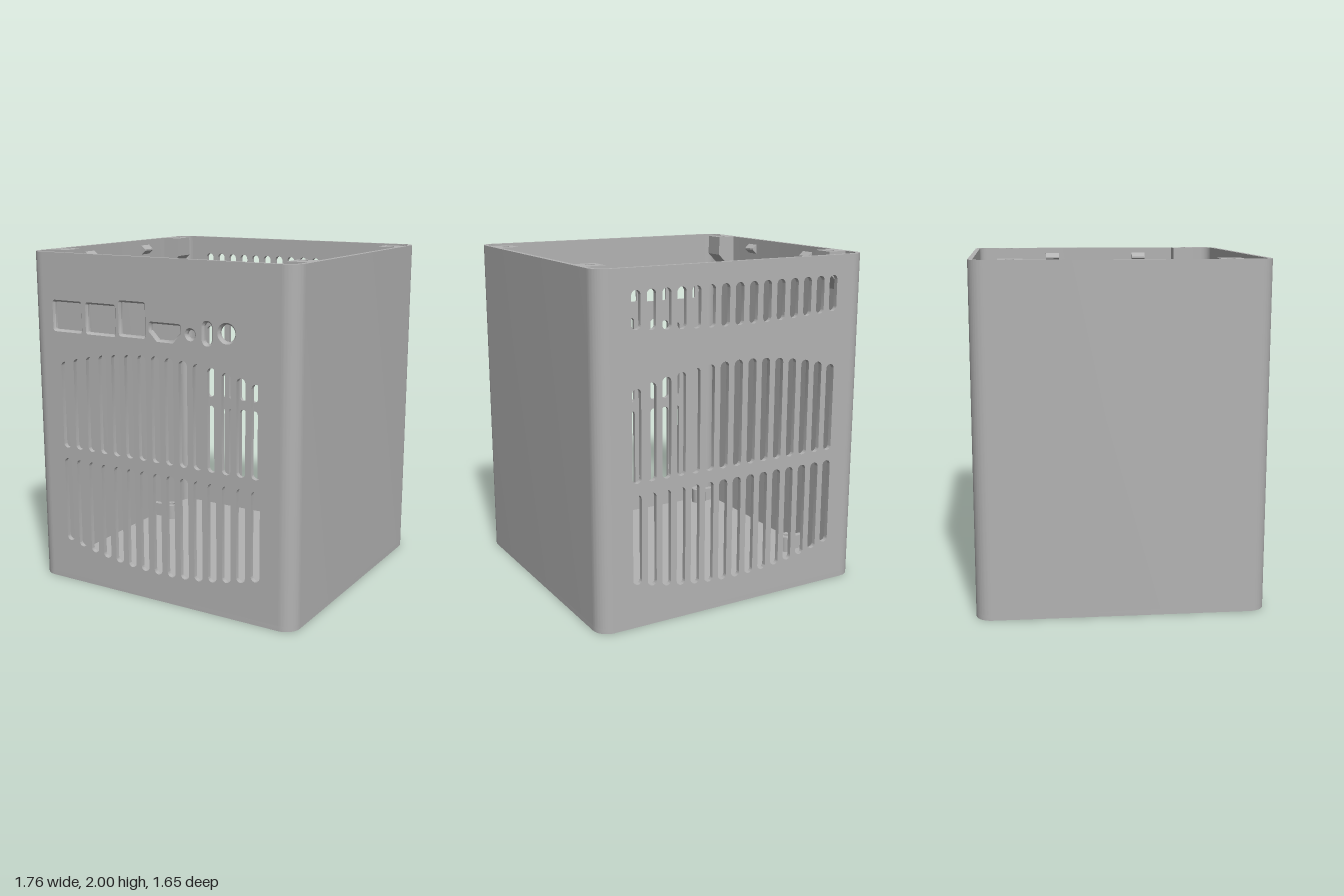
import * as THREE from 'three';
import { toCreasedNormals } from 'three/addons/utils/BufferGeometryUtils.js';

const X = 0.88, Z = 0.825, H = 2;          // outer half sizes and height
const T = 0.027, FLOOR = 0.03, R = 0.09;   // wall, floor, corner radius
const XI = X - T, ZI = Z - T;

const grey = new THREE.MeshStandardMaterial({ color: 0xb3b3b3 });
grey.name = 'plain grey';

// Counter-clockwise rectangle with rounded (n > 1) or cut (n = 1) corners
function outline(cx, cy, w, h, rTop, rBot = rTop, nTop = 8, nBot = nTop) {
  const pts = [];
  [[1, 1], [-1, 1], [-1, -1], [1, -1]].forEach(([sx, sy], q) => {
    const r = sy > 0 ? rTop : rBot, n = sy > 0 ? nTop : nBot;
    for (let i = 0; i <= n; i++) {
      const a = (q + i / n) * Math.PI / 2;
      const p = new THREE.Vector2(
        cx + sx * (w / 2 - r) + r * Math.cos(a),
        cy + sy * (h / 2 - r) + r * Math.sin(a));
      if (!pts.length || p.distanceTo(pts[pts.length - 1]) > 1e-5) pts.push(p);
    }
  });
  if (pts[0].distanceTo(pts[pts.length - 1]) < 1e-5) pts.pop();
  return pts;
}

const circle = (cx, cy, r) => outline(cx, cy, 2 * r, 2 * r, r);

function extrude(points, holes, depth) {
  const shape = new THREE.Shape(points);
  shape.holes = holes.map(h => new THREE.Path(h));
  const g = new THREE.ExtrudeGeometry(shape, { depth, bevelEnabled: false });
  return toCreasedNormals(g, 0.6);
}

// Extrude a plan drawing (x, -z) upwards from y0
function extrudeUp(points, holes, y0, height) {
  return extrude(points, holes, height).rotateX(-Math.PI / 2).translate(0, y0, 0);
}

// Join equal loops [points, z] into a surface facing the middle
function loft(rows) {
  const n = rows[0][0].length, pos = [], index = [];
  rows.forEach(([pts, z]) => pts.forEach(p => pos.push(p.x, p.y, z)));
  for (let k = 0; k < rows.length - 1; k++) {
    for (let j = 0; j < n; j++) {
      const a = k * n + j, b = k * n + (j + 1) % n;
      index.push(a, b, a + n, b, b + n, a + n);
    }
  }
  const g = new THREE.BufferGeometry();
  g.setAttribute('position', new THREE.Float32BufferAttribute(pos, 3));
  g.setIndex(index);
  return toCreasedNormals(g, 0.6);
}

// Vertical ventilation slot
const slot = (x, y0, y1) => outline(x, (y0 + y1) / 2, 0.055, y1 - y0, 0.0275);

// Port openings; each takes an inset for its bevelled edge
const ports = [
  i => outline(-0.613, 1.633, 0.215 - 2 * i, 0.185 - 2 * i, 0.016 - i, 0.016 - i, 3),
  i => outline(-0.372, 1.633, 0.215 - 2 * i, 0.185 - 2 * i, 0.016 - i, 0.016 - i, 3),
  i => outline(-0.152, 1.65, 0.185 - 2 * i, 0.205 - 2 * i, 0.016 - i, 0.016 - i, 3),
  i => outline(0.068, 1.593, 0.215 - 2 * i, 0.11 - 2 * i, 0.016 - i, 0.055 - 0.6 * i, 3, 1),
  i => circle(0.235, 1.596, 0.036 - i),
  i => outline(0.342, 1.61, 0.068 - 2 * i, 0.14 - 2 * i, 0.034 - i),
  i => circle(0.464, 1.62, 0.058 - i),
];

export function createModel() {
  const model = new THREE.Group();
  model.name = 'ventilatedCase';
  const add = (name, geometry) => {
    const mesh = new THREE.Mesh(geometry, grey);
    mesh.name = name;
    model.add(mesh);
    return mesh;
  };

  // Slot rows whose outer ends follow a shallow arc
  const vents = [], topVents = [];
  for (let k = -7; k <= 7; k++) {
    const x = k * 0.092, q = x * x;
    vents.push(slot(x, 0.84, 1.455 - 0.22 * q), slot(x, 0.165 + 0.215 * q, 0.775));
    topVents.push(slot(x, 1.648 + 0.07 * q, 1.885));
  }

  // Front and back walls
  const panel = outline(0, (H + FLOOR) / 2, 2 * (X - R), H - FLOOR, 0, 0, 1);
  add('frontWall', extrude(panel, [...vents, ...ports.map(p => p(0))], T).translate(0, 0, ZI));
  add('backWall', extrude(panel, [...vents, ...topVents], T).translate(0, 0, -Z));

  // Bevelled frames lining the port openings
  ports.forEach(p => add('portFrame',
    loft([[p(0), Z], [p(0.011), Z - 0.012], [p(0.011), ZI], [p(0), ZI]])));

  // Side walls with rounded corners
  const side = new THREE.Shape();
  side.moveTo(X - R, -Z);
  side.absarc(X - R, -Z + R, R, -Math.PI / 2, 0, false);
  side.absarc(X - R, Z - R, R, 0, Math.PI / 2, false);
  side.lineTo(X - R, ZI);
  side.absarc(X - R, Z - R, R - T, Math.PI / 2, 0, true);
  side.absarc(X - R, -Z + R, R - T, 0, -Math.PI / 2, true);
  const sidePoints = side.getPoints(10);
  add('leftWall', extrudeUp(sidePoints, [], FLOOR, H - FLOOR));
  add('rightWall', extrudeUp(sidePoints, [], FLOOR, H - FLOOR).rotateY(Math.PI));

  // Floor with recessed screw holes
  const standoffs = [];
  for (const s of [-1, 1]) for (const z of [-0.37, 0.73]) standoffs.push([s, s * 0.712, z]);
  add('floor', extrudeUp(outline(0, 0, 2 * X, 2 * Z, R, R, 10),
    standoffs.map(([, x, z]) => circle(x, -z, 0.035)), 0, FLOOR));

  // Hollow standoffs tied to the side walls by ribs
  for (const [s, x, z] of standoffs) {
    add('standoff', extrudeUp(circle(x, -z, 0.05), [circle(x, -z, 0.021)], FLOOR, 0.1));
    add('standoffRib', new THREE.BoxGeometry(XI - 0.755, 0.09, 0.036)
      .translate(s * (XI + 0.755) / 2, FLOOR + 0.045, z));
  }

  for (const s of [-1, 1]) {
    // Screw blocks at the rim, each with a sloped foot
    for (const z of [-0.6, 0.595]) {
      const w = XI - 0.735, xc = s * (XI + 0.735) / 2;
      add('screwBlock', extrudeUp(outline(xc, -z, w, 0.135, 0, 0, 1),
        [circle(s * 0.793, -z, 0.025)], H - 0.12, 0.12));
      const foot = [[0.735, H - 0.12], [XI, H - 0.12], [XI, H - 0.12 - w]];
      add('screwBlockFoot', extrude(foot.map(([x, y]) => new THREE.Vector2(s * x, y)), [], 0.135)
        .translate(0, 0, z - 0.0675));
    }
    // Small catches for the lid
    for (const z of [-0.303, 0.295]) {
      const tip = [[XI, 1.965], [XI - 0.03, 1.94], [XI - 0.03, 1.93], [XI, 1.905]];
      add('lidCatch', extrude(tip.map(([x, y]) => new THREE.Vector2(s * x, y)), [], 0.09)
        .translate(0, 0, z - 0.045));
    }
  }
  return model;
}
